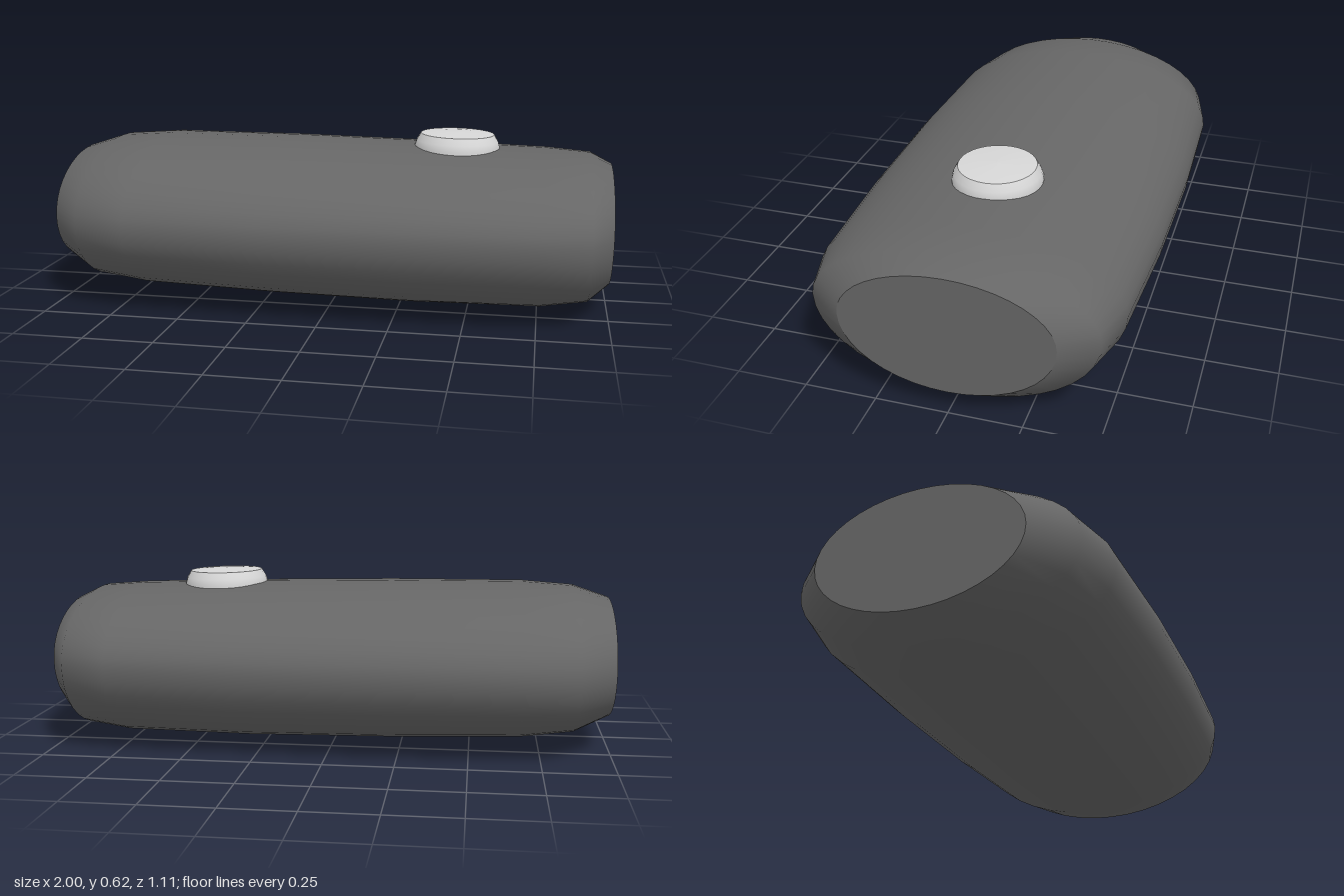
import * as THREE from 'three';

// Stations along the body: x, half depth, bottom y, top y
const STATIONS = [
  [-1, 0.362, 0.105, 0.535],
  [-0.87, 0.495, 0.05, 0.577],
  [-0.68, 0.541, 0.028, 0.59],
  [-0.2, 0.556, 0.013, 0.588],
  [0.3, 0.55, 0.004, 0.578],
  [0.76, 0.526, 0.008, 0.565],
  [0.925, 0.48, 0.03, 0.553],
  [1, 0.36, 0.088, 0.517],
];
const SIDES = 40;
const MID_Y = 0.322; // height of the widest line

// One point of an oval section whose upper and lower halves differ
function sectionPoint([x, depth, bottom, top], i) {
  const a = (i / SIDES) * Math.PI * 2;
  const s = Math.sin(a);
  return [x, MID_Y + s * (s > 0 ? top - MID_Y : MID_Y - bottom), depth * Math.cos(a)];
}

function geometryFrom(positions, indices) {
  const geometry = new THREE.BufferGeometry();
  geometry.setAttribute('position', new THREE.Float32BufferAttribute(positions, 3));
  geometry.setIndex(indices);
  geometry.computeVertexNormals();
  return geometry;
}

// Smooth skin joining the oval sections
function shellGeometry() {
  const positions = [], indices = [];
  for (const station of STATIONS) {
    for (let i = 0; i < SIDES; i++) positions.push(...sectionPoint(station, i));
  }
  for (let r = 0; r < STATIONS.length - 1; r++) {
    for (let i = 0; i < SIDES; i++) {
      const a = r * SIDES + i, b = r * SIDES + ((i + 1) % SIDES);
      indices.push(a, a + SIDES, b, b, a + SIDES, b + SIDES);
    }
  }
  return geometryFrom(positions, indices);
}

// Flat end closing the first or last section
function capGeometry(station, side) {
  const positions = [station[0], MID_Y, 0], indices = [];
  for (let i = 0; i < SIDES; i++) {
    positions.push(...sectionPoint(station, i));
    const a = i + 1, b = ((i + 1) % SIDES) + 1;
    if (side > 0) indices.push(0, b, a);
    else indices.push(0, a, b);
  }
  return geometryFrom(positions, indices);
}

export function createModel() {
  const model = new THREE.Group();
  model.name = 'roundedDevice';
  const bodyGrey = new THREE.MeshStandardMaterial({ color: 0x666666 });
  bodyGrey.name = 'dark grey';
  const buttonGrey = new THREE.MeshStandardMaterial({ color: 0xd6d6d6 });
  buttonGrey.name = 'light grey';

  const add = (name, geometry, material, parent = model) => {
    const mesh = new THREE.Mesh(geometry, material);
    mesh.name = name;
    parent.add(mesh);
    return mesh;
  };

  // Body
  add('bodyShell', shellGeometry(), bodyGrey);
  add('rightEnd', capGeometry(STATIONS[0], -1), bodyGrey);
  add('leftEnd', capGeometry(STATIONS[STATIONS.length - 1], 1), bodyGrey);

  // Round button: bevelled side and slightly domed top
  const button = new THREE.Group();
  button.name = 'button';
  button.position.set(0.437, 0.57, 0.005);
  button.rotation.z = -0.02;
  model.add(button);
  const profile = (points) =>
    new THREE.LatheGeometry(points.map(([x, y]) => new THREE.Vector2(x, y)), 32);
  add('buttonSide', profile([[0.157, -0.04], [0.157, 0.002], [0.15, 0.025], [0.135, 0.05]]), buttonGrey, button);
  add('buttonTop', profile([[0.135, 0.05], [0.07, 0.055], [0, 0.057]]), buttonGrey, button);

  return model;
}
